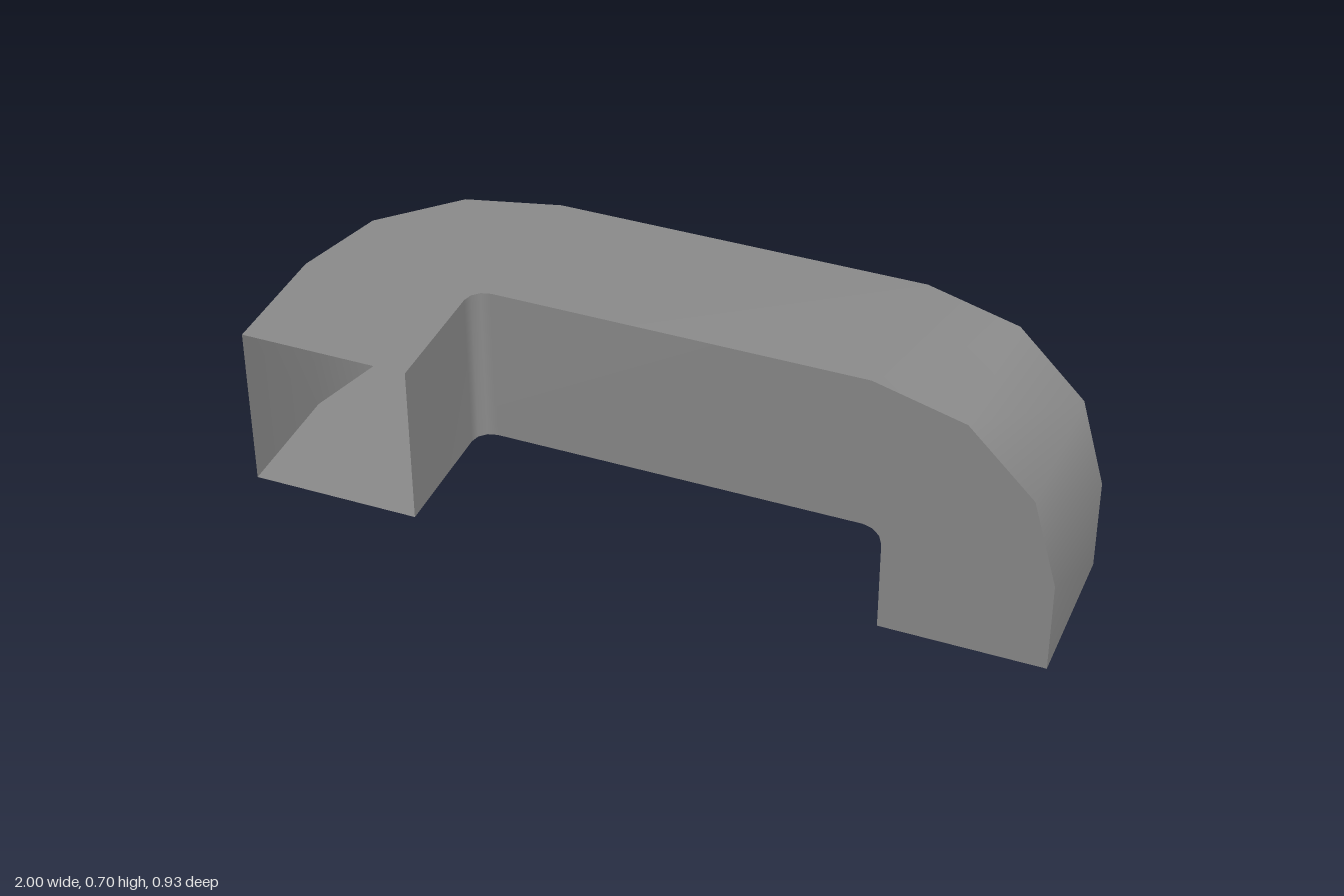
import * as THREE from 'three';

// Square open-ended duct: a horizontal bend, a straight run, then a downward bend.
const BACK = -0.30, FRONT = 0.11, TOP = 0.705, BOTTOM = 0.295;

// Offsets of the bend from its corner: [along the run, along the leg]
const OUTER = [[0, 0.457], [0.063, 0.23], [0.23, 0.061], [0.458, 0]];
const FILLET = 0.047;
const INNER = [0, 1, 2, 3].map((i) => {
  const a = (i / 3) * Math.PI / 2;
  return [FILLET * (1 - Math.cos(a)), FILLET * (1 - Math.sin(a))];
});

// Each ring holds four corners: back top, front top, front bottom, back bottom
function ductRings() {
  const rings = [];
  const flat = (uo, wo, ui, wi) => rings.push([
    [uo, TOP, wo], [ui, TOP, wi], [ui, BOTTOM, wi], [uo, BOTTOM, wo]]);
  const upright = (uo, yo, ui, yi) => rings.push([
    [uo, yo, BACK], [uo, yo, FRONT], [ui, yi, FRONT], [ui, yi, BACK]]);

  // Horizontal bend
  flat(-0.891, 0.469, -0.48, 0.469);
  OUTER.forEach(([u, w], i) =>
    flat(-0.891 + u, BACK + w, -0.48 + INNER[i][0], FRONT + INNER[i][1]));
  // Downward bend
  for (let i = 3; i >= 0; i--) {
    upright(0.956 - OUTER[i][0], TOP - OUTER[i][1],
      0.54 - INNER[i][0], BOTTOM - INNER[i][1]);
  }
  upright(0.956, 0, 0.54, 0);
  return rings;
}

// One wall joins two neighbouring corners of every ring
function wallGeometry(rings, side) {
  const positions = [], index = [];
  rings.forEach((ring, i) => {
    positions.push(...ring[side], ...ring[(side + 1) % 4]);
    if (i < rings.length - 1) {
      const a = i * 2;
      index.push(a, a + 1, a + 2, a + 1, a + 3, a + 2);
    }
  });
  const geometry = new THREE.BufferGeometry();
  geometry.setAttribute('position', new THREE.Float32BufferAttribute(positions, 3));
  geometry.setIndex(index);
  geometry.computeVertexNormals();
  return geometry;
}

export function createModel() {
  const material = new THREE.MeshStandardMaterial({ color: 0x8c8c8c, side: THREE.DoubleSide });
  material.name = 'grey metal';

  const duct = new THREE.Group();
  duct.name = 'duct';
  const rings = ductRings();
  ['topWall', 'frontWall', 'bottomWall', 'backWall'].forEach((name, side) => {
    const wall = new THREE.Mesh(wallGeometry(rings, side), material);
    wall.name = name;
    duct.add(wall);
  });
  duct.rotation.y = -0.384;

  const model = new THREE.Group();
  model.name = 'ductElbows';
  model.add(duct);
  return model;
}
